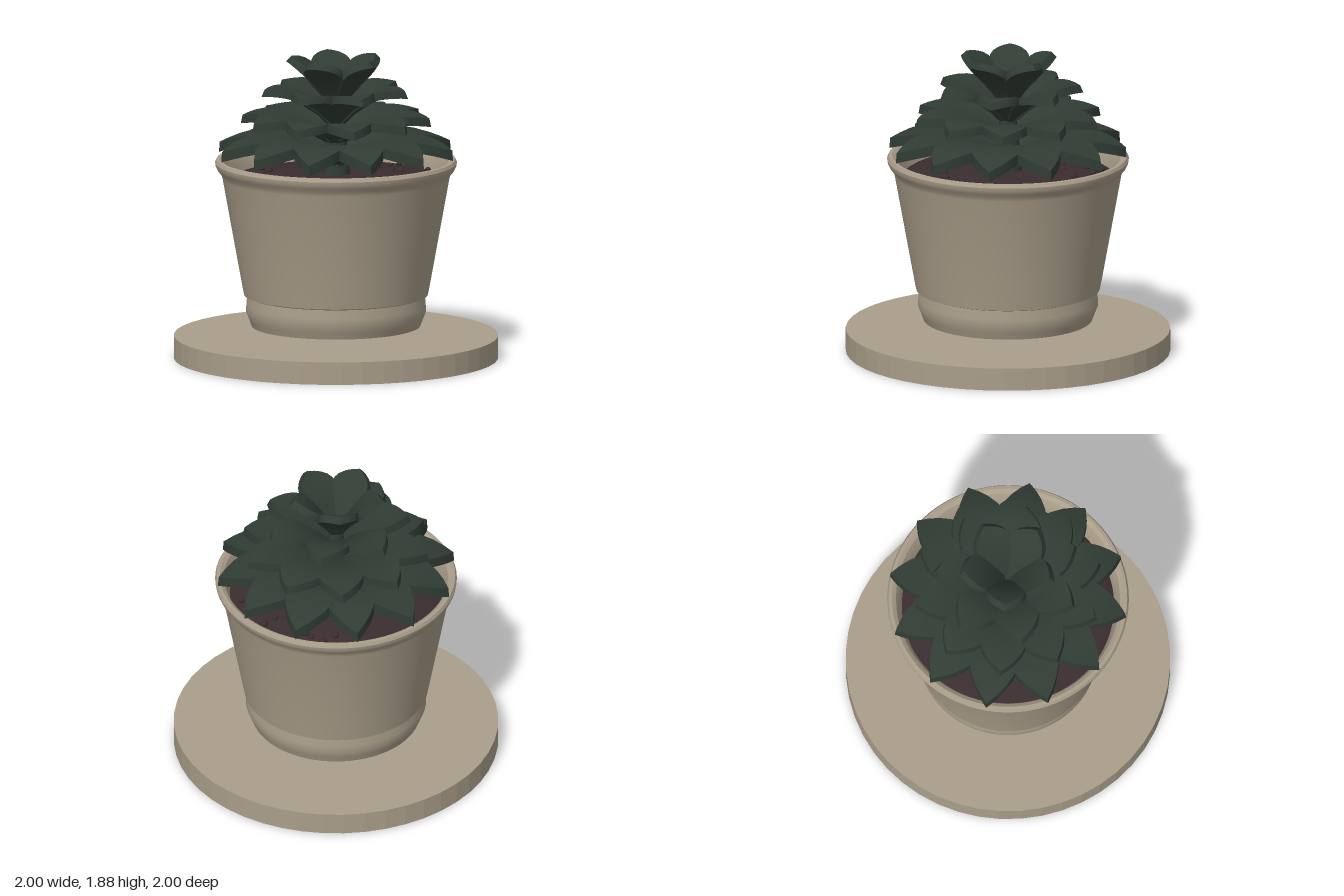
import * as THREE from 'three';
import { toCreasedNormals } from 'three/addons/utils/BufferGeometryUtils.js';

function mat(name, color) {
  const m = new THREE.MeshStandardMaterial({ color });
  m.name = name;
  return m;
}

function lathe(points, segments = 72) {
  const g = new THREE.LatheGeometry(points.map(([r, y]) => new THREE.Vector2(r, y)), segments);
  return toCreasedNormals(g, 0.55);
}

// Half-width of a leaf along its length, as [position, fraction of the widest]
const OUTLINE = [
  [0, 0.3], [0.15, 0.5], [0.3, 0.8], [0.45, 0.97], [0.55, 1],
  [0.65, 0.95], [0.75, 0.82], [0.85, 0.58], [0.93, 0.31], [1, 0],
];

// Thick pointed leaf along +x: an arched top surface with parallel underside
function leafGeometry({ path, width, thick, cup }) {
  const [a, b, c] = path.map(([r, y]) => new THREE.Vector2(r, y));
  const curve = new THREE.QuadraticBezierCurve(a, b, c);
  const chord = c.clone().sub(a).normalize();
  const dx = chord.y * thick, dy = -chord.x * thick;
  const pos = [], index = [];
  OUTLINE.forEach(([u, f], i) => {
    const p = curve.getPoint(u), w = width * f, lift = cup * f;
    pos.push(p.x, p.y + lift, w, p.x, p.y, 0, p.x, p.y + lift, -w);
    pos.push(p.x + dx, p.y + dy + lift, -w, p.x + dx, p.y + dy, 0, p.x + dx, p.y + dy + lift, w);
    if (i === 0) return;
    for (let j = 0; j < 6; j++) {
      const k = (j + 1) % 6, s = (i - 1) * 6, e = i * 6;
      index.push(s + j, e + j, e + k, s + j, e + k, s + k);
    }
  });
  index.push(0, 1, 4, 0, 4, 5, 1, 2, 3, 1, 3, 4); // closed base
  const g = new THREE.BufferGeometry();
  g.setAttribute('position', new THREE.Float32BufferAttribute(pos, 3));
  g.setIndex(index);
  return toCreasedNormals(g, 0.5);
}

export function createModel() {
  const model = new THREE.Group();
  model.name = 'pottedSucculent';
  const clay = mat('warm stone', 0xaa9e8a);
  const leafGreen = mat('dark leaf green', 0x303c34);
  const soilBrown = mat('dark soil', 0x3a2d2f);

  const add = (name, geometry, material, parent = model) => {
    const mesh = new THREE.Mesh(geometry, material);
    mesh.name = name;
    parent.add(mesh);
    return mesh;
  };

  // Round base disc
  const disc = new THREE.CylinderGeometry(1, 1, 0.14, 48).toNonIndexed();
  disc.computeVertexNormals();
  add('baseDisc', disc, clay).position.y = 0.07;

  // Pot foot, flared body and rolled rim, with the inner wall
  add('potFoot', lathe([
    [0, 0.2], [0.52, 0.2], [0.535, 0.24], [0.555, 0.29], [0.553, 0.33], [0.547, 0.395], [0.5, 0.4],
  ]), clay);
  add('potBody', lathe([
    [0.54, 0.385], [0.567, 0.395], [0.584, 0.485], [0.7, 1.125], [0.708, 1.15], [0.73, 1.175],
    [0.742, 1.2], [0.745, 1.22], [0.735, 1.24], [0.715, 1.242], [0.69, 1.225],
    [0.675, 1.19], [0.662, 1.15], [0.65, 1.08],
  ]), clay);

  // Soil with scattered pebbles
  add('soil', lathe([[0.66, 1.1], [0.62, 1.125], [0.3, 1.145], [0, 1.15]], 48), soilBrown);
  let seed = 7;
  const rand = () => (seed = (seed * 16807) % 2147483647) / 2147483647;
  const pebbles = new THREE.Group();
  pebbles.name = 'soilPebbles';
  model.add(pebbles);
  const pebbleGeo = new THREE.IcosahedronGeometry(1, 1);
  for (let i = 0; i < 36; i++) {
    const angle = rand() * Math.PI * 2, r = 0.3 + rand() * 0.3, s = 0.014 + rand() * 0.014;
    const p = add('pebble', pebbleGeo, soilBrown, pebbles);
    p.position.set(Math.cos(angle) * r, 1.14, Math.sin(angle) * r);
    p.scale.set(s * 1.2, s * 0.9, s);
    p.rotation.y = angle * 3;
  }

  // Leaf rosette, from the widest tier up to the crown; angles run from +x towards +z
  const tiers = [
    { name: 'outerLeaves', count: 12, start: 0, width: 0.16, thick: 0.065, cup: 0.0,
      path: [[0.05, 1.27], [0.38, 1.49], [0.735, 1.32]] },
    { name: 'lowerLeaves', count: 10, start: 18, width: 0.15, thick: 0.055, cup: 0.005,
      path: [[0.04, 1.4], [0.34, 1.58], [0.58, 1.505]] },
    { name: 'upperLeaves', count: 7, start: -90, width: 0.14, thick: 0.05, cup: 0.01,
      path: [[0.03, 1.51], [0.23, 1.72], [0.445, 1.685]] },
    { name: 'crownLeaves', count: 5, start: 90, width: 0.125, thick: 0.05, cup: 0.015,
      path: [[0.02, 1.62], [0.13, 1.82], [0.275, 1.88]] },
  ];
  for (const tier of tiers) {
    const group = new THREE.Group();
    group.name = tier.name;
    model.add(group);
    const geo = leafGeometry(tier);
    for (let i = 0; i < tier.count; i++) {
      const angle = THREE.MathUtils.degToRad(tier.start + (i * 360) / tier.count);
      add('leaf', geo, leafGreen, group).rotation.y = -angle;
    }
  }

  // Short stem holding the tiers together
  add('stem', new THREE.CylinderGeometry(0.04, 0.09, 0.5, 16), leafGreen).position.y = 1.37;
  return model;
}
